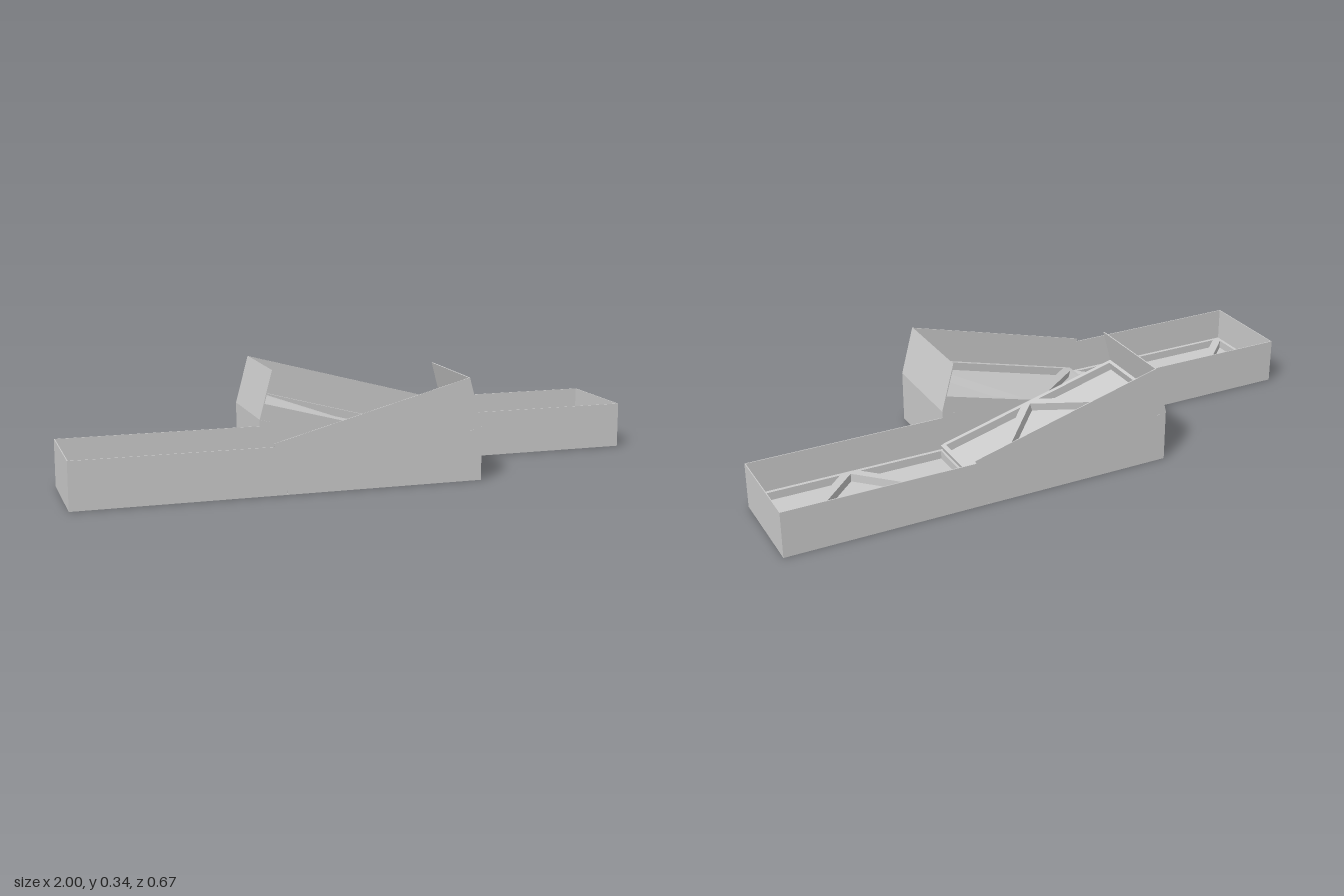
import * as THREE from 'three';

const material = new THREE.MeshStandardMaterial({ color: 0xcccccc, flatShading: true });
const L = 0.673; // bay length
const W = 0.335; // bay width
const T = 0.003; // wall thickness
const RIB = 0.028; // rib height above the floor

function add(parent, name, geometry) {
  const mesh = new THREE.Mesh(geometry, material);
  mesh.name = name;
  parent.add(mesh);
}

// Box given by its minimum corner and size
function box(parent, name, x, y, z, w, h, d) {
  add(parent, name, new THREE.BoxGeometry(w, h, d).translate(x + w / 2, y + h / 2, z + d / 2));
}

const points = (list) => list.map(([x, y]) => new THREE.Vector2(x, y));

// Plate with three triangular pockets, leaving a rim and a V of diagonal ribs
function ribPlate(top) {
  const rim = 0.015, half = 0.02, m = L / 2;
  const reach = m - half - rim;
  const foot = m + half - (W - rim);
  const shape = new THREE.Shape(points([[0, 0], [L, 0], [L, W], [0, W]]));
  const pockets = [
    [[rim, rim], [reach, rim], [rim, reach]],
    [[L - rim, rim], [L - reach, rim], [L - rim, reach]],
    [[m, half], [foot, W - rim], [L - foot, W - rim]],
  ];
  pockets.forEach((p) => shape.holes.push(new THREE.Path(points(p))));
  const geometry = new THREE.ExtrudeGeometry(shape, { depth: RIB, bevelEnabled: false });
  return geometry.rotateX(Math.PI / 2).translate(0, top, 0);
}

// One open bay: floor, ribs, outer side wall and one end wall
function makeBay(name, height, ledge, endX) {
  const bay = new THREE.Group();
  bay.name = name;
  box(bay, 'floor', 0, 0, 0, L, ledge - RIB, W);
  add(bay, 'ribPlate', ribPlate(ledge));
  box(bay, 'outerWall', 0, 0, W - T, L, height, T);
  box(bay, 'endWall', endX, 0, 0, T, height, W);
  return bay;
}

function makeTray(name) {
  const tray = new THREE.Group();
  tray.name = name;

  // Level bay, walled on both long sides
  const level = makeBay('levelBay', 0.155, 0.041, 0);
  box(level, 'innerWall', 0, 0, 0, L, 0.155, T);
  level.position.x = -1;
  tray.add(level);

  // Tilted bay, open towards the other tray
  const tilted = makeBay('tiltedBay', 0.169, 0.055, L - T);
  tilted.position.set(-0.323, 0.002, 0);
  tilted.rotation.z = 0.262;
  tray.add(tilted);

  // Solid wedge carrying the tilted bay
  const wedge = new THREE.Shape(points([[-0.328, 0], [0.327, 0], [0.327, 0.176], [-0.328, 0.003]]));
  add(tray, 'wedge', new THREE.ExtrudeGeometry(wedge, { depth: W, bevelEnabled: false }));
  return tray;
}

export function createModel() {
  const model = new THREE.Group();
  model.name = 'doubleTray';
  const front = makeTray('frontTray');
  const back = makeTray('backTray');
  back.rotation.y = Math.PI;
  model.add(front, back);
  return model;
}
